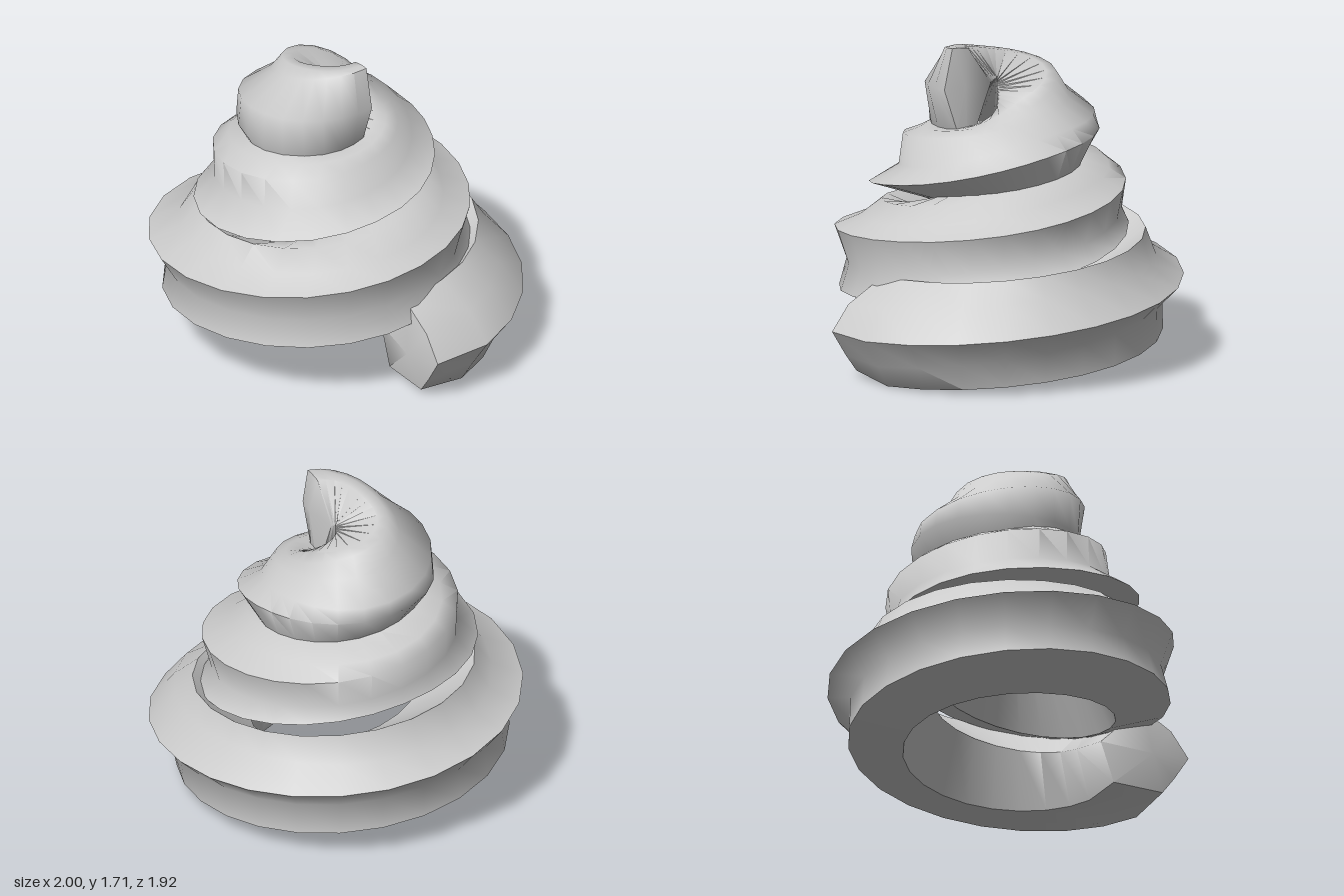
import * as THREE from 'three';
import { toCreasedNormals } from 'three/addons/utils/BufferGeometryUtils.js';

// One row per quarter turn, as radius and height pairs:
// ridge, notch, lower ridge, underside, inner side
const SIDES = [
  [1.05, 0.27, 0.95, 0.11, 0.87, 0.00, 0.53, 0.00, 0.44, 0.26],
  [0.96, 0.37, 0.84, 0.25, 0.83, 0.08, 0.56, 0.05, 0.45, 0.38],
  [1.00, 0.50, 0.89, 0.37, 0.90, 0.20, 0.60, 0.13, 0.45, 0.52],
  [0.965, 0.63, 0.88, 0.47, 0.91, 0.32, 0.60, 0.20, 0.42, 0.66],
  [0.78, 0.75, 0.73, 0.56, 0.78, 0.42, 0.50, 0.33, 0.25, 0.95],
  [0.68, 0.88, 0.63, 0.70, 0.71, 0.61, 0.45, 0.50, 0.12, 1.08],
  [0.68, 1.02, 0.67, 0.87, 0.70, 0.79, 0.45, 0.64, 0.00, 1.16],
  [0.61, 1.15, 0.61, 0.98, 0.76, 0.86, 0.40, 0.78, 0.00, 1.22],
  [0.40, 1.25, 0.45, 1.10, 0.60, 1.02, 0.35, 0.92, 0.00, 1.30],
  [0.30, 1.34, 0.40, 1.27, 0.49, 1.19, 0.42, 1.02, 0.00, 1.43],
  [0.40, 1.46, 0.55, 1.34, 0.56, 1.26, 0.45, 1.10, 0.00, 1.50],
  [0.28, 1.62, 0.46, 1.46, 0.47, 1.26, 0.40, 1.12, 0.00, 1.53],
  [0.28, 1.72, 0.33, 1.50, 0.25, 1.27, 0.18, 1.15, 0.04, 1.50],
];
// The same rows for the top: shoulder and crown
const TOPS = [
  [0.93, 0.43, 0.72, 0.55],
  [0.82, 0.53, 0.77, 0.64],
  [0.85, 0.58, 0.78, 0.74],
  [0.80, 0.70, 0.70, 0.80],
  [0.66, 0.81, 0.54, 0.90],
  [0.52, 0.95, 0.44, 1.03],
  [0.62, 1.07, 0.46, 1.11],
  [0.50, 1.20, 0.45, 1.24],
  [0.33, 1.28, 0.26, 1.28],
  [0.24, 1.38, 0.18, 1.42],
  [0.34, 1.56, 0.28, 1.57],
  [0.22, 1.66, 0.16, 1.66],
  [0.24, 1.72, 0.18, 1.71],
];
const STEPS = 6; // segments per quarter turn

// Cross-section of the strand, going up from the ridge and round the inside
function section([tr, ty, nr, ny, lr, ly, ur, uy, ir, iy], [sr, sy, cr, cy]) {
  return [[tr, ty], [sr, sy], [cr, cy], [ir, iy], [ur, uy], [lr, ly], [nr, ny]]
    .map(([r, y]) => new THREE.Vector2(r, y));
}

function swirlGeometry() {
  const sections = SIDES.map((side, i) => section(side, TOPS[i]));
  const rails = sections[0].map((_, j) => new THREE.SplineCurve(sections.map((s) => s[j])));
  const n = rails.length;
  const rings = (SIDES.length - 1) * STEPS;
  const middle = new THREE.Vector2(0.74, 0.27);
  const positions = [];
  const index = [];

  // Sweep the section round the axis, with a narrowed, rounded start
  for (let i = 0; i <= rings; i++) {
    const a = (i / STEPS) * Math.PI / 2;
    for (const rail of rails) {
      const p = rail.getPoint(i / rings);
      if (i === 0) p.lerp(middle, 0.15);
      const r = Math.max(0, p.x);
      positions.push(r * Math.cos(a), p.y, -r * Math.sin(a) + (i === 0 ? 0.05 : 0));
    }
  }
  for (let i = 0; i < rings; i++) {
    for (let j = 0; j < n; j++) {
      const k = (j + 1) % n;
      const a = i * n + j, b = i * n + k;
      index.push(a, a + n, b, b, a + n, b + n);
    }
  }

  // Slightly pointed caps on both ends
  for (const [ring, z] of [[0, 0.09], [rings, -0.03]]) {
    const c = positions.length / 3;
    let x = 0, y = 0;
    for (let j = 0; j < n; j++) {
      x += positions[(ring * n + j) * 3] / n;
      y += positions[(ring * n + j) * 3 + 1] / n;
    }
    positions.push(x, y, z);
    for (let j = 0; j < n; j++) {
      const a = ring * n + j, b = ring * n + (j + 1) % n;
      if (ring === 0) index.push(c, a, b);
      else index.push(c, b, a);
    }
  }

  const geometry = new THREE.BufferGeometry();
  geometry.setAttribute('position', new THREE.Float32BufferAttribute(positions, 3));
  geometry.setIndex(index);
  return toCreasedNormals(geometry, 1.15);
}

export function createModel() {
  const group = new THREE.Group();
  group.name = 'swirl';
  const grey = new THREE.MeshStandardMaterial({ color: 0xcccccc, side: THREE.DoubleSide });
  grey.name = 'light grey';
  const strand = new THREE.Mesh(swirlGeometry(), grey);
  strand.name = 'coiledStrand';
  group.add(strand);
  return group;
}
